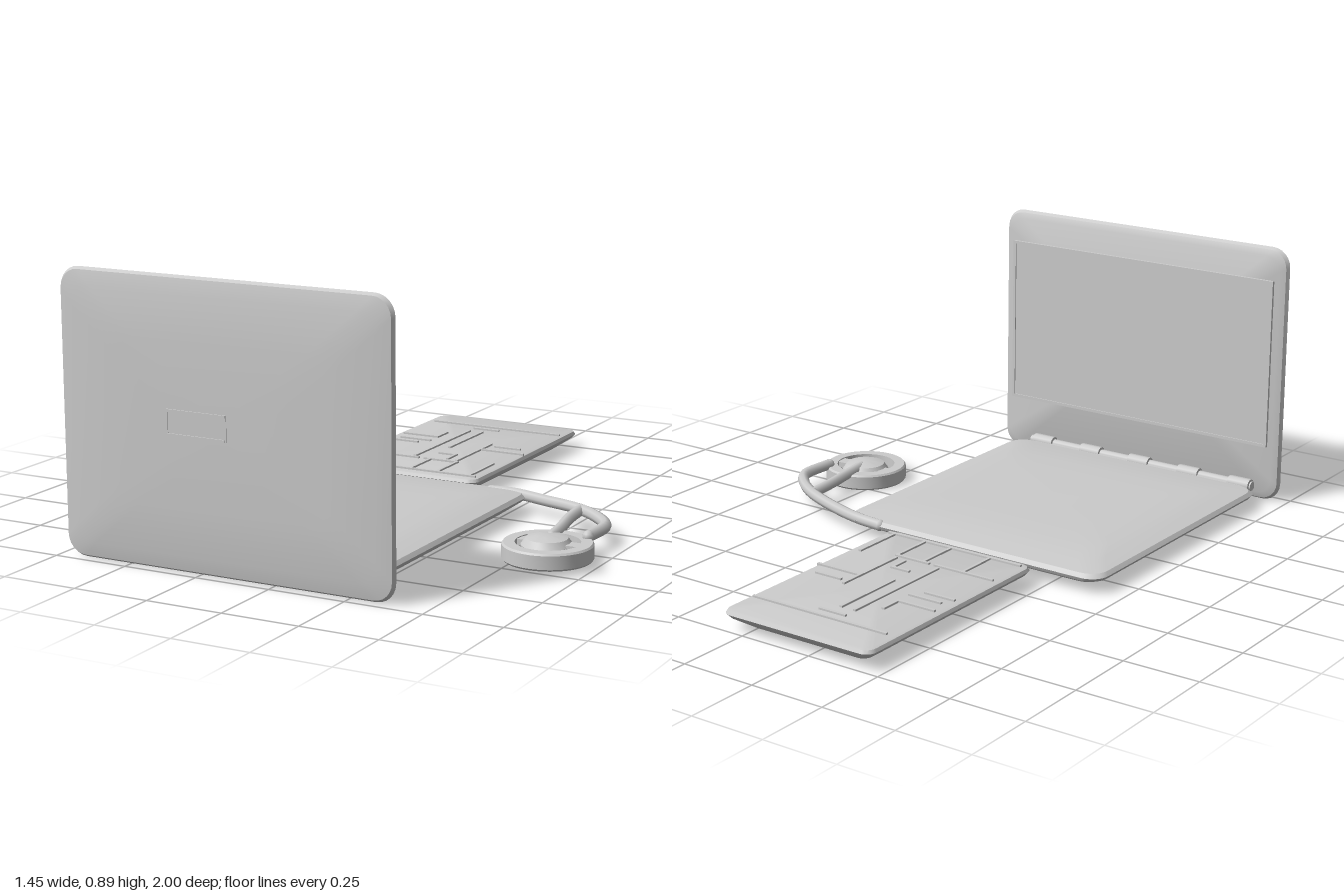
import * as THREE from 'three';
import { toCreasedNormals } from 'three/addons/utils/BufferGeometryUtils.js';

const grey = new THREE.MeshStandardMaterial({ color: 0xcccccc });

function add(parent, name, geo, x = 0, y = 0, z = 0) {
  const mesh = new THREE.Mesh(geo, grey);
  mesh.name = name;
  mesh.position.set(x, y, z);
  parent.add(mesh);
  return mesh;
}

// Rounded rectangle sections stacked in y; each level is [y, width, depth, radius, zShift].
function slab(levels, crease = 0.35) {
  const pos = [], index = [], steps = 7, n = 4 * steps;
  for (const [y, w, d, r, dz = 0] of levels) {
    for (let q = 0; q < 4; q++) {
      const sx = q === 0 || q === 3 ? 1 : -1, sz = q < 2 ? 1 : -1;
      for (let i = 0; i < steps; i++) {
        const a = (q + i / (steps - 1)) * Math.PI / 2;
        pos.push(sx * (w / 2 - r) + r * Math.cos(a), y, dz + sz * (d / 2 - r) + r * Math.sin(a));
      }
    }
  }
  const last = levels.length - 1;
  for (let l = 0; l < last; l++) {
    for (let i = 0; i < n; i++) {
      const a = l * n + i, b = l * n + (i + 1) % n;
      index.push(a, a + n, b, b, a + n, b + n);
    }
  }
  const c = levels.length * n;
  pos.push(0, levels[0][0], levels[0][4] || 0, 0, levels[last][0], levels[last][4] || 0);
  for (let i = 0; i < n; i++) {
    const j = (i + 1) % n;
    index.push(c, i, j, c + 1, last * n + j, last * n + i);
  }
  const geo = new THREE.BufferGeometry();
  geo.setAttribute('position', new THREE.Float32BufferAttribute(pos, 3));
  geo.setIndex(index);
  return toCreasedNormals(geo, crease);
}

function cable(parent, name, points, radius) {
  const curve = new THREE.CatmullRomCurve3(points.map(p => new THREE.Vector3(...p)));
  add(parent, name, new THREE.TubeGeometry(curve, 28, radius, 8));
  for (const p of [points[0], points[points.length - 1]])
    add(parent, name + 'End', new THREE.SphereGeometry(radius, 8, 6), ...p);
}

function buildLaptop() {
  const laptop = new THREE.Group();
  laptop.name = 'laptop';

  // Base: chamfered underside, gently domed top
  add(laptop, 'base', slab([
    [0.01, 0.87, 0.94, 0.06, 0.03],
    [0.045, 0.97, 1.02, 0.06],
    [0.056, 0.985, 1.03, 0.06],
    [0.068, 0.965, 1.005, 0.06],
    [0.078, 0.86, 0.86, 0.06],
    [0.086, 0.76, 0.66, 0.06],
    [0.088, 0.5, 0.4, 0.06],
  ], 0.45), -0.193, 0, 0.375);

  // Lid: upright, with a slightly bulged outer face
  const lid = slab([
    [0.945, 1.07, 0.83, 0.05],
    [0.953, 1.11, 0.87, 0.06],
    [0.966, 1.125, 0.885, 0.065],
    [0.978, 1.11, 0.87, 0.06],
    [0.987, 1.02, 0.78, 0.06],
    [0.993, 0.7, 0.5, 0.06],
    [0.996, 0.3, 0.2, 0.06],
  ], 0.45);
  lid.rotateX(Math.PI / 2);
  add(laptop, 'lid', lid, -0.163, 0.448, 0);

  // Screen panel with a narrow rim around it
  add(laptop, 'screen', new THREE.BoxGeometry(1.02, 0.56, 0.012), -0.16, 0.49, 0.945);
  for (const s of [-1, 1]) {
    add(laptop, 'screenRim', new THREE.BoxGeometry(1.04, 0.01, 0.016), -0.16, 0.49 + s * 0.285, 0.943);
    add(laptop, 'screenRim', new THREE.BoxGeometry(0.01, 0.58, 0.016), -0.16 + s * 0.515, 0.49, 0.943);
  }

  // Hinge: barrel with knuckles and a web below it
  const barrel = new THREE.CylinderGeometry(0.016, 0.016, 0.9, 10);
  barrel.rotateZ(Math.PI / 2);
  add(laptop, 'hingeBarrel', barrel, -0.195, 0.06, 0.915);
  add(laptop, 'hingeWeb', new THREE.BoxGeometry(0.84, 0.02, 0.08), -0.195, 0.054, 0.915);
  for (const x of [-0.6, -0.4, -0.2, 0.0, 0.2]) {
    const knuckle = new THREE.CylinderGeometry(0.023, 0.023, 0.08, 10);
    knuckle.rotateZ(Math.PI / 2);
    add(laptop, 'hingeKnuckle', knuckle, x, 0.062, 0.912);
  }

  // Plain raised rectangle on the lid's outer face
  for (const s of [-1, 1]) {
    add(laptop, 'lidRidge', new THREE.BoxGeometry(0.2, 0.008, 0.012), -0.24, 0.46 + s * 0.036, 0.994);
    add(laptop, 'lidRidge', new THREE.BoxGeometry(0.008, 0.08, 0.012), -0.24 + s * 0.1, 0.46, 0.992);
  }
  return laptop;
}

function buildTablet() {
  const tablet = new THREE.Group();
  tablet.name = 'tablet';
  add(tablet, 'tabletBody', slab([
    [0.01, 0.43, 0.71, 0.03],
    [0.045, 0.53, 0.815, 0.035],
    [0.058, 0.55, 0.835, 0.035],
    [0.068, 0.54, 0.825, 0.035],
    [0.071, 0.52, 0.805, 0.03],
  ]), -0.195, 0, -0.583);

  // Low relief ridges: [x0, z0, x1, z1]
  const ridges = [
    [-0.43, -0.87, 0.06, -0.87], [-0.25, -0.78, -0.25, -0.37], [-0.2, -0.78, -0.2, -0.53],
    [-0.44, -0.35, -0.23, -0.35], [-0.2, -0.35, -0.08, -0.35], [-0.19, -0.44, -0.13, -0.44],
    [-0.13, -0.44, -0.13, -0.38], [-0.09, -0.63, -0.09, -0.37], [-0.09, -0.55, 0.07, -0.55],
    [-0.06, -0.61, 0.03, -0.61], [-0.42, -0.59, -0.31, -0.59], [-0.44, -0.65, -0.31, -0.65],
    [-0.44, -0.55, -0.34, -0.55], [-0.31, -0.72, -0.31, -0.65], [-0.44, -0.2, 0.06, -0.2],
    [-0.33, -0.34, -0.33, -0.2], [-0.18, -0.34, -0.18, -0.2], [-0.08, -0.34, -0.08, -0.2],
    [0.04, -0.38, 0.04, -0.2], [-0.25, -0.83, -0.16, -0.83],
  ];
  for (const [x0, z0, x1, z1] of ridges) {
    const geo = new THREE.BoxGeometry(x1 - x0 + 0.01, 0.012, z1 - z0 + 0.01);
    add(tablet, 'tabletRidge', geo, (x0 + x1) / 2, 0.071, (z0 + z1) / 2);
  }
  return tablet;
}

function buildEarpiece() {
  const earpiece = new THREE.Group();
  earpiece.name = 'cabledEarpiece';

  // Open ring
  const profile = [[0.1, 0.004], [0.135, 0.004], [0.14, 0.01], [0.14, 0.052], [0.135, 0.058], [0.1, 0.058], [0.1, 0.004]];
  const ring = new THREE.LatheGeometry(profile.map(p => new THREE.Vector2(...p)), 40);
  add(earpiece, 'ring', toCreasedNormals(ring, 0.5), 0.58, 0, 0.345);

  // Core inside the ring, hollow underneath
  const dome = [[0, 0.03], [0.055, 0.03], [0.06, 0.015], [0.076, 0.015], [0.08, 0.045], [0.065, 0.066], [0.035, 0.074], [0, 0.076]];
  const core = new THREE.LatheGeometry(dome.map(p => new THREE.Vector2(...p)), 24);
  add(earpiece, 'core', toCreasedNormals(core, 0.6), 0.57, 0, 0.33);
  add(earpiece, 'coreBridge', new THREE.BoxGeometry(0.22, 0.02, 0.045), 0.58, 0.045, 0.33);

  // Cable from the base, splitting into two branches
  cable(earpiece, 'mainCable', [
    [0.16, 0.055, -0.125], [0.25, 0.058, -0.12], [0.37, 0.058, -0.085], [0.52, 0.062, -0.025],
    [0.62, 0.062, 0.05], [0.67, 0.062, 0.12], [0.67, 0.062, 0.25]], 0.019);
  cable(earpiece, 'innerCable', [
    [0.525, 0.062, -0.02], [0.535, 0.062, 0.09], [0.555, 0.06, 0.2], [0.57, 0.06, 0.3]], 0.018);
  return earpiece;
}

export function createModel() {
  const model = new THREE.Group();
  model.name = 'laptopSet';
  model.add(buildLaptop(), buildTablet(), buildEarpiece());
  return model;
}
